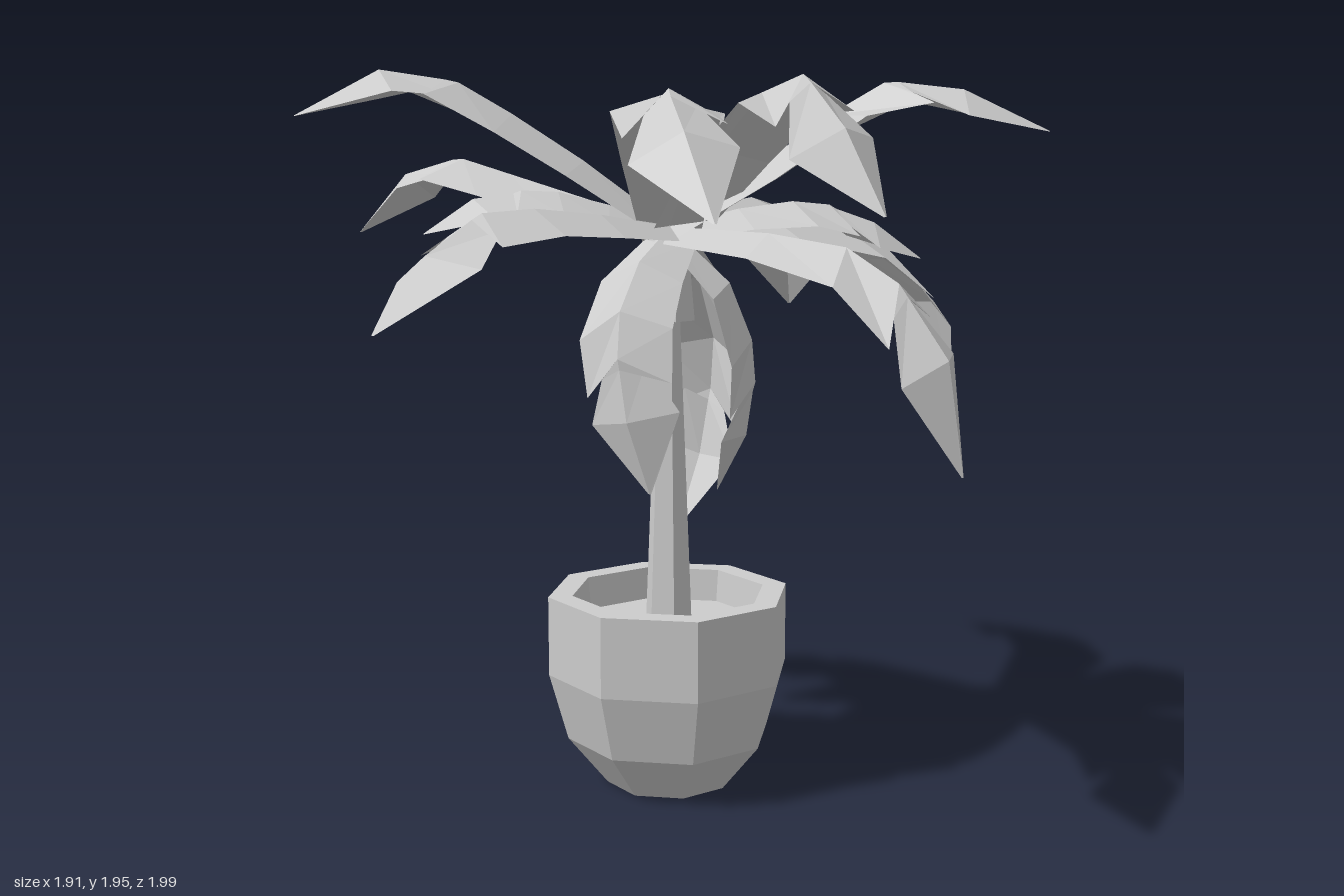
import * as THREE from 'three';

const gray = new THREE.MeshStandardMaterial({ color: 0xcccccc, flatShading: true, side: THREE.DoubleSide });
gray.name = 'pale gray';

const CX = 0.005, CZ = -0.1;
const BASE = [0.01, 1.53, CZ];

// Blade stations: position on the spine, position of the edge, half width.
// The step back past the middle makes the torn notch.
const STATIONS = [
  [0, 0, 0.6], [0.26, 0.28, 0.9], [0.46, 0.5, 1], [0.6, 0.69, 0.95],
  [0.63, 0.63, 0.5], [0.78, 0.78, 1], [1, 1, 0.03],
];

// Roof-shaped blade along a curved spine, with staggered notches left and right
function leafGeometry(points, halfWidth) {
  const pts = [BASE, ...points].map((p) => new THREE.Vector3(...p));
  const curve = new THREE.CatmullRomCurve3(pts, false, 'centripetal');
  const out = pts[2].clone().sub(pts[0]).setY(0).normalize();
  const side = new THREE.Vector3().crossVectors(out, new THREE.Vector3(0, 1, 0));
  const positions = [], index = [];
  STATIONS.forEach(([t, edgeT, w], i) => {
    const inner = i > 1 && i < 6;
    for (const s of [-1, 0, 1]) {
      const u = s === 0 ? t : Math.min(1, edgeT + (inner ? s * 0.03 : 0));
      const p = curve.getPointAt(u);
      const normal = new THREE.Vector3().crossVectors(side, curve.getTangentAt(u)).normalize();
      p.addScaledVector(side, s * w * halfWidth);
      p.addScaledVector(normal, (s === 0 ? 0.12 : -0.36) * w * halfWidth);
      positions.push(p.x, p.y, p.z);
    }
    if (i > 0) {
      for (let k = 0; k < 2; k++) {
        const a = (i - 1) * 3 + k, b = a + 1, c = a + 3, d = a + 4;
        index.push(a, b, d, a, d, c);
      }
    }
  });
  const g = new THREE.BufferGeometry();
  g.setAttribute('position', new THREE.Float32BufferAttribute(positions, 3));
  g.setIndex(index);
  g.computeVertexNormals();
  return g;
}

// Spine points beyond the shared base, then half width
const UPPER = [
  [[[-0.3, 1.75, -0.15], [-0.67, 1.94, -0.21], [-0.96, 1.83, -0.24]], 0.135],
  [[[0.08, 1.75, -0.35], [0.17, 1.89, -0.65], [0.21, 1.55, -1]], 0.13],
  [[[0.3, 1.73, 0], [0.58, 1.91, 0.1], [0.95, 1.79, 0.21]], 0.125],
  [[[0.1, 1.76, 0.15], [0.2, 1.91, 0.42], [0.3, 1.6, 0.77]], 0.14],
  [[[-0.05, 1.72, 0.15], [-0.13, 1.88, 0.45], [-0.16, 1.8, 0.72], [-0.15, 1.6, 0.99]], 0.13],
];
const MIDDLE = [
  [[[-0.3, 1.63, -0.35], [-0.57, 1.7, -0.57], [-0.77, 1.5, -0.77]], 0.13],
  [[[0.25, 1.58, -0.4], [0.45, 1.56, -0.61], [0.59, 1.25, -0.91]], 0.13],
  [[[0.35, 1.54, -0.19], [0.65, 1.47, -0.29], [0.84, 1.3, -0.33], [0.93, 1.04, -0.36]], 0.125],
  [[[0.3, 1.59, -0.05], [0.48, 1.57, -0.05], [0.69, 1.45, -0.02]], 0.125],
  [[[0.2, 1.52, 0.15], [0.38, 1.47, 0.42], [0.5, 1.28, 0.6], [0.54, 0.98, 0.68]], 0.13],
  [[[-0.25, 1.57, 0.1], [-0.57, 1.57, 0.28], [-0.82, 1.33, 0.47]], 0.13],
  [[[-0.3, 1.62, -0.08], [-0.5, 1.61, -0.06], [-0.65, 1.53, -0.06]], 0.12],
];
const DROOPING = [
  [[[-0.1, 1.46, 0.06], [-0.19, 1.31, 0.2], [-0.19, 1.12, 0.26], [-0.13, 0.89, 0.27]], 0.125],
  [[[0.1, 1.43, -0.25], [0.19, 1.23, -0.36], [0.17, 0.95, -0.37], [0.07, 0.68, -0.27]], 0.13],
  [[[0.12, 1.43, -0.05], [0.2, 1.26, -0.03], [0.21, 1.05, -0.03], [0.14, 0.82, -0.09]], 0.11],
];

export function createModel() {
  const model = new THREE.Group();
  model.name = 'pottedPalm';
  const add = (name, geometry, x = 0, y = 0, z = 0, parent = model) => {
    const mesh = new THREE.Mesh(geometry, gray);
    mesh.name = name;
    mesh.position.set(x, y, z);
    parent.add(mesh);
    return mesh;
  };

  // Eight-sided planter with a recessed inside
  const profile = [
    [0, 0], [0.175, 0], [0.285, 0.135], [0.337, 0.32], [0.337, 0.54], [0.27, 0.54], [0.26, 0.45],
  ].map(([r, y]) => new THREE.Vector2(r, y));
  add('pot', new THREE.LatheGeometry(profile, 8), CX, 0, CZ);
  add('soil', new THREE.CircleGeometry(0.262, 8).rotateX(-Math.PI / 2), CX, 0.45, CZ);

  // Tapered trunk and the sheath under the leaves
  add('trunk', new THREE.CylinderGeometry(0.024, 0.066, 1.05, 6), CX, 0.975, CZ);
  add('crownSheath', new THREE.CylinderGeometry(0.05, 0.068, 0.2, 6), CX + 0.005, 1.39, CZ);

  // Leaves in three tiers
  for (const [name, leaves] of [['upperLeaves', UPPER], ['middleLeaves', MIDDLE], ['droopingLeaves', DROOPING]]) {
    const tier = new THREE.Group();
    tier.name = name;
    model.add(tier);
    leaves.forEach(([points, w], i) => add('leaf' + (i + 1), leafGeometry(points, w), 0, 0, 0, tier));
  }
  return model;
}
